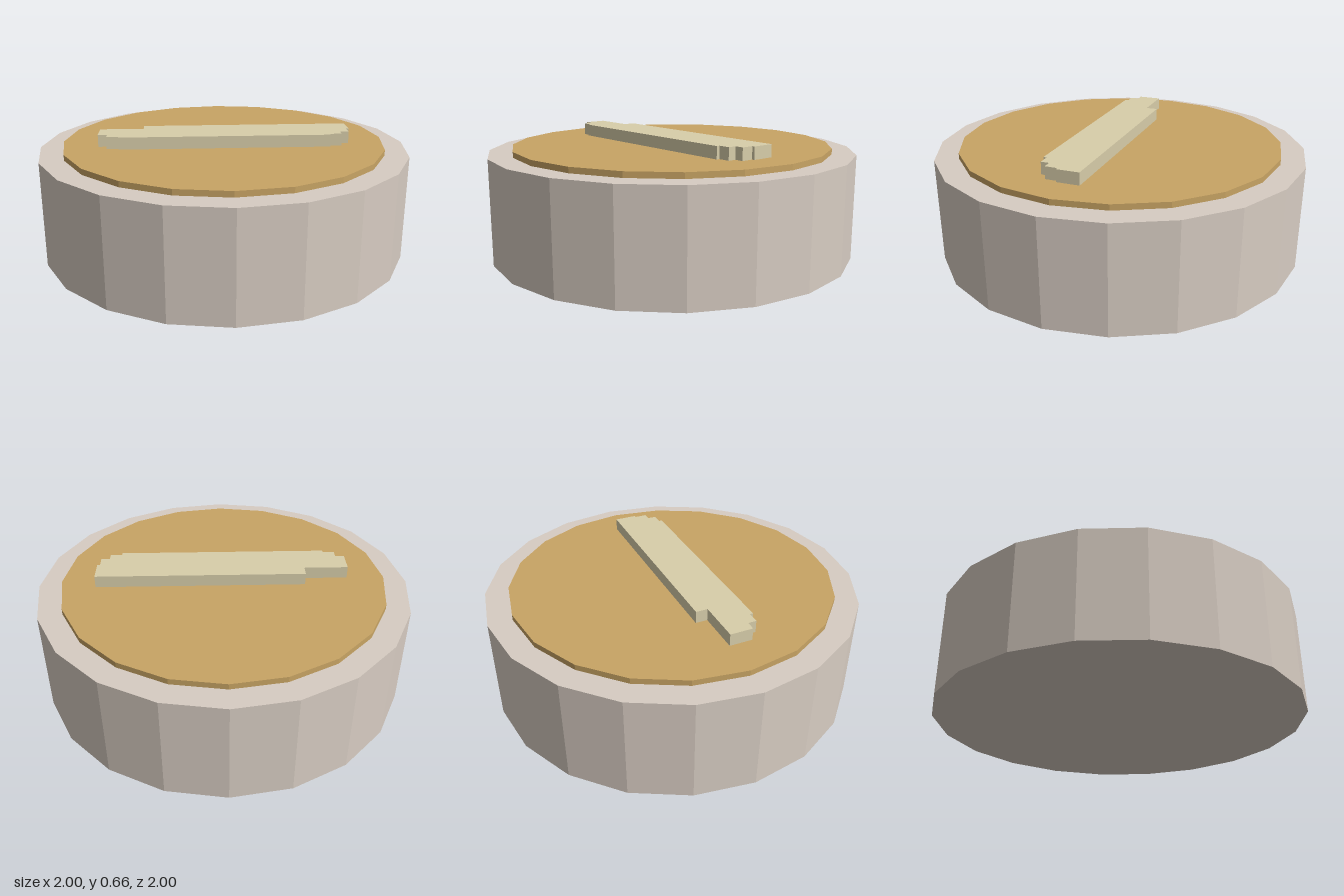
import * as THREE from 'three';

const BODY_TOP = 0.565, DISC_TOP = 0.595, SLAB_TOP = 0.66;

function part(name, geometry, color, y) {
  const mesh = new THREE.Mesh(geometry, new THREE.MeshStandardMaterial({ color, flatShading: true }));
  mesh.name = name;
  mesh.position.y = y;
  return mesh;
}

// 20-sided drum standing on height y
function drum(name, radius, bottom, top, color) {
  const height = top - bottom;
  return part(name, new THREE.CylinderGeometry(radius, radius, height, 20), color, bottom + height / 2);
}

export function createModel() {
  const model = new THREE.Group();
  model.name = 'roundContainer';

  model.add(drum('body', 1, 0, BODY_TOP, 0xd7ccc2));
  model.add(drum('topDisc', 0.873, BODY_TOP, DISC_TOP, 0xc8a464));

  // Raised slab with stepped corners, outline as x, z
  const outline = [
    [-0.56, 0.185], [0.56, 0.185], [0.56, 0.167], [0.623, 0.167],
    [0.623, 0.122], [0.67, 0.122], [0.67, 0.057], [0.685, 0.057],
    [0.685, -0.063], [-0.437, -0.063], [-0.437, 0], [-0.672, 0],
    [-0.672, 0.122], [-0.623, 0.122], [-0.623, 0.167], [-0.56, 0.167],
  ];
  const shape = new THREE.Shape(outline.map(([x, z]) => new THREE.Vector2(x, -z)));
  const slab = new THREE.ExtrudeGeometry(shape, { depth: SLAB_TOP - DISC_TOP, bevelEnabled: false });
  slab.rotateX(-Math.PI / 2);
  model.add(part('raisedSlab', slab, 0xd8ceaa, DISC_TOP));

  return model;
}
